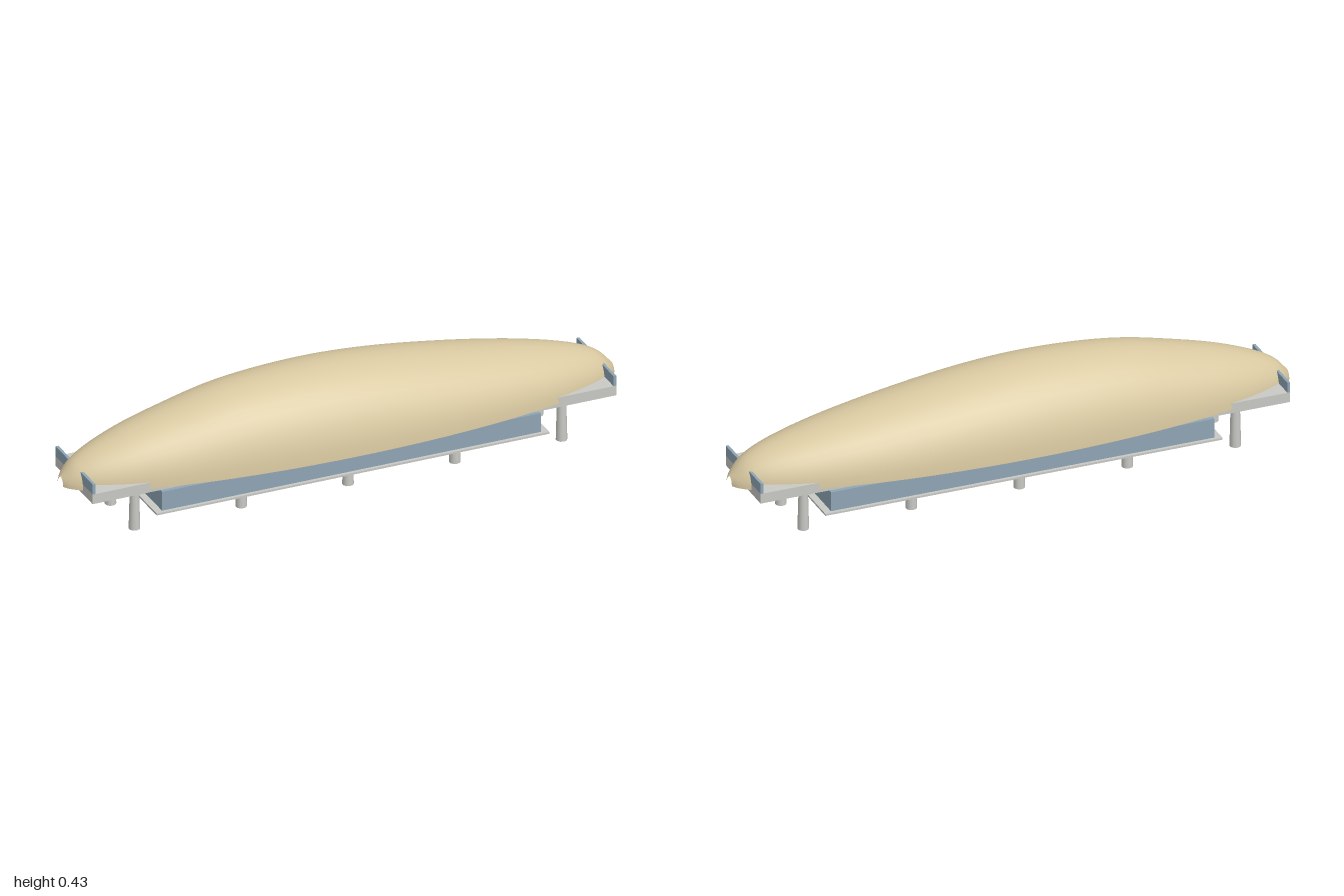
import * as THREE from 'three';

export function createModel() {
  const model = new THREE.Group();
  const mat = (name, color) => {
    const m = new THREE.MeshStandardMaterial({ color });
    m.name = name;
    return m;
  };
  const sand = mat('sand shell', 0xd8c8a0);
  sand.side = THREE.DoubleSide;
  const concrete = mat('pale concrete', 0xc8c8c4);
  const glass = mat('blue glass', 0x8fa5b5);

  const add = (name, geometry, material, x, y, z) => {
    const mesh = new THREE.Mesh(geometry, material);
    mesh.name = name;
    mesh.position.set(x, y, z);
    model.add(mesh);
  };
  // Box given by its lower and upper heights
  const slab = (name, w, y0, y1, d, material, x = 0) =>
    add(name, new THREE.BoxGeometry(w, y1 - y0, d), material, x, (y0 + y1) / 2, 0);

  // Roof shell: half-ellipse arches swept along x, open at the ends and below
  const ridge = new THREE.CatmullRomCurve3([
    [-1, 0.195], [-0.95, 0.247], [-0.8, 0.314], [-0.6, 0.37], [-0.4, 0.412], [-0.13, 0.43],
    [0.1, 0.421], [0.4, 0.383], [0.7, 0.329], [0.88, 0.281], [0.95, 0.247], [1, 0.195],
  ].map(([x, y]) => new THREE.Vector3(x, y, 0)));
  const base = 0.166, rings = 66, arc = 20;
  const positions = [], indices = [];
  for (let i = 0; i <= rings; i++) {
    const p = ridge.getPoint(i / rings);
    const halfWidth = 0.222 * Math.sqrt(Math.max(1.01 - p.x * p.x, 0.01));
    for (let j = 0; j <= arc; j++) {
      const a = (j / arc) * Math.PI;
      positions.push(p.x, base + (p.y - base) * Math.sin(a), halfWidth * Math.cos(a));
      if (i < rings && j < arc) {
        const k = i * (arc + 1) + j, n = k + arc + 1;
        indices.push(k, n, k + 1, n, n + 1, k + 1);
      }
    }
  }
  const shell = new THREE.BufferGeometry();
  shell.setAttribute('position', new THREE.Float32BufferAttribute(positions, 3));
  shell.setIndex(indices);
  shell.computeVertexNormals();
  add('roofShell', shell, sand, 0, 0, 0);

  // Raised deck with a glass screen across each end
  slab('upperDeck', 1.9, 0.152, 0.188, 0.3, concrete);
  for (const s of [-1, 1]) slab('endScreen', 0.01, 0.188, 0.225, 0.3, glass, s * 0.945);

  // Glazed lower storey on a thin floor
  slab('lowerFloor', 1.425, 0.053, 0.06, 0.276, concrete);
  slab('glazedHall', 1.375, 0.06, 0.13, 0.252, glass);

  // Two rows of slightly tapered columns
  const column = new THREE.CylinderGeometry(0.0155, 0.0195, 0.153, 10);
  for (const x of [-0.775, -0.3875, 0, 0.3875, 0.775])
    for (const z of [-0.097, 0.097]) add('column', column, concrete, x, 0.0765, z);

  return model;
}
